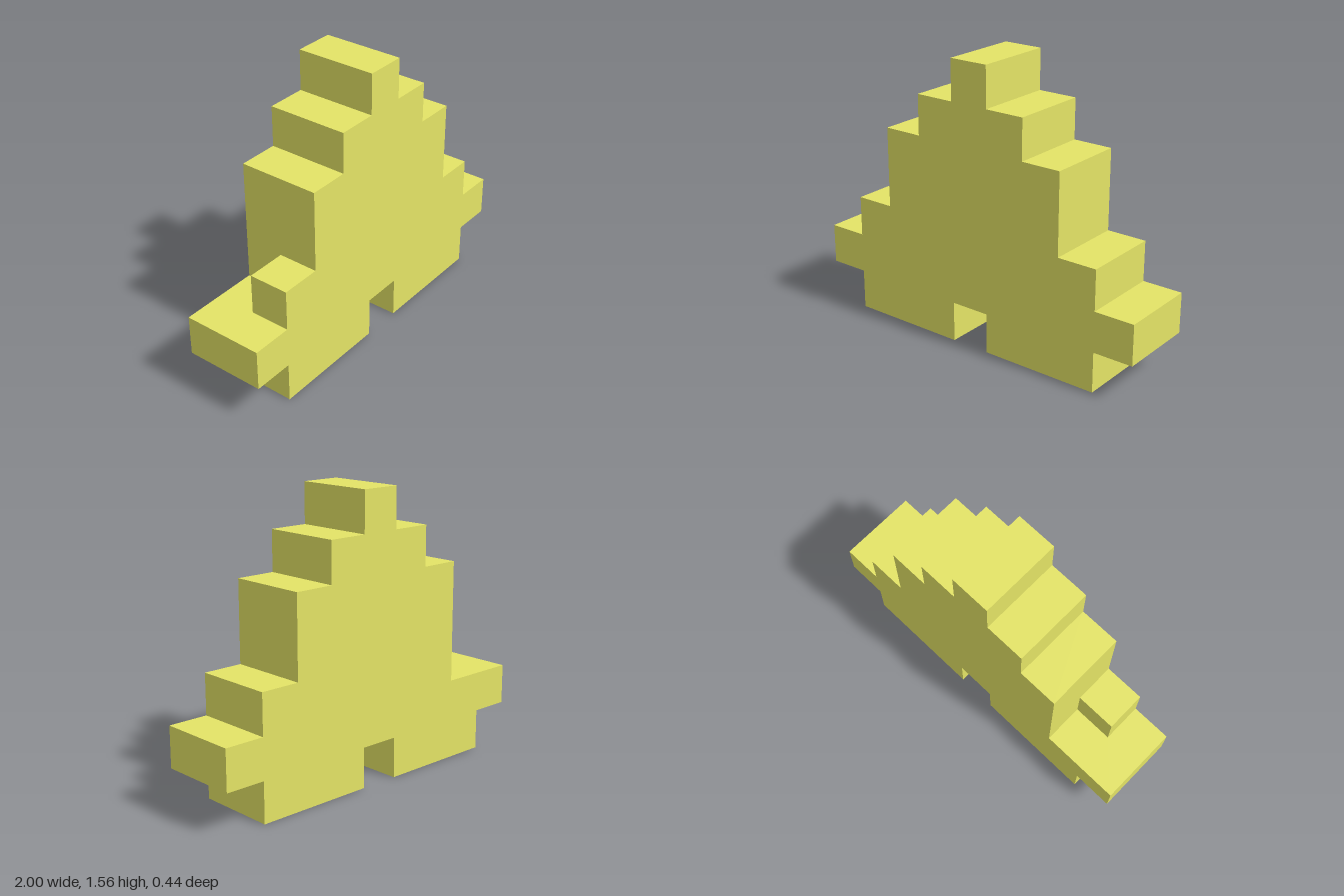
import * as THREE from 'three';

const U = 2 / 9; // one block

export function createModel() {
  const group = new THREE.Group();
  group.name = 'steppedBlockFigure';
  const yellow = new THREE.MeshStandardMaterial({ color: 0xe4e466 });
  yellow.name = 'pale yellow';

  // Stepped outline in block units, with the notch between the feet;
  // the right shoulder step is left out here
  const outline = [
    [-3.5, 0], [-0.5, 0], [-0.5, 1], [0.5, 1], [0.5, 0], [3.5, 0],
    [3.5, 1], [4.5, 1], [4.5, 2], [3.5, 2], [3.5, 3], [2.5, 3],
    [2.5, 5], [1.5, 5], [1.5, 6], [0.5, 6], [0.5, 7], [-0.5, 7],
    [-0.5, 6], [-1.5, 6], [-1.5, 5], [-2.5, 5], [-2.5, 2],
    [-4.5, 2], [-4.5, 1], [-3.5, 1],
  ];
  const shape = new THREE.Shape(outline.map(([x, y]) => new THREE.Vector2(x * U, y * U)));
  const bodyGeometry = new THREE.ExtrudeGeometry(shape, { depth: 2 * U, bevelEnabled: false });
  bodyGeometry.translate(0, 0, -U);
  const body = new THREE.Mesh(bodyGeometry, yellow);
  body.name = 'steppedBody';
  group.add(body);

  // Single block on the right shoulder, filling only the front half
  const block = new THREE.Mesh(new THREE.BoxGeometry(U, U, U), yellow);
  block.name = 'rightShoulderBlock';
  block.position.set(-3 * U, 2.5 * U, 0.5 * U);
  group.add(block);

  return group;
}
